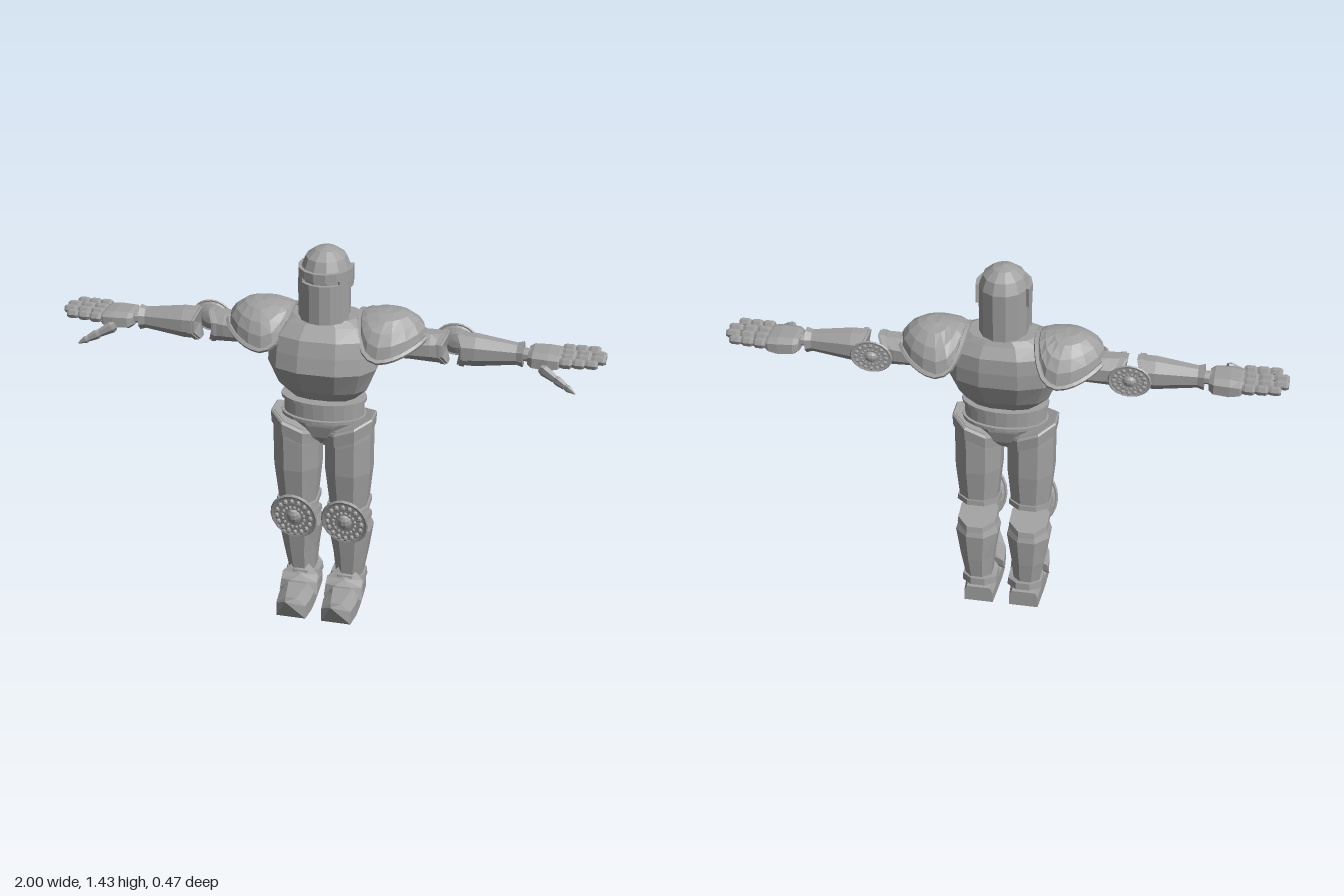
import * as THREE from 'three';

const steel = new THREE.MeshStandardMaterial({ color: 0xa0a0a0, flatShading: true, side: THREE.DoubleSide });
steel.name = 'steel';

function add(parent, name, geometry, pos = [0, 0, 0], rot = [0, 0, 0]) {
  const m = new THREE.Mesh(geometry, steel);
  m.name = name;
  m.position.set(...pos);
  m.rotation.set(...rot);
  parent.add(m);
  return m;
}

// Horizontal ring of points; tilt slopes it, fold bends it, p < 1 squares it off
function ring(y, rx, rz, cx = 0, cz = 0, { n = 8, sx = 0, sz = 0, foldX = 0, foldZ = 0, p = 1 } = {}) {
  const k = 1 / Math.cos(Math.PI / n), pts = [];
  const pw = v => Math.sign(v) * Math.min(1, Math.abs(v * k) ** p);
  for (let i = 0; i < n; i++) {
    const a = (i + 0.5) / n * Math.PI * 2;
    const x = rx * pw(Math.cos(a)), z = rz * pw(Math.sin(a));
    pts.push([cx + x, y + sx * x + sz * z + foldX * Math.abs(x) + foldZ * Math.abs(z), cz + z]);
  }
  return pts;
}

// Skin a stack of equal rings, closing the ends with fans
function loft(rings, capStart = true, capEnd = true) {
  const n = rings[0].length, pos = rings.flat(2), idx = [];
  for (let r = 0; r < rings.length - 1; r++)
    for (let i = 0; i < n; i++) {
      const a = r * n + i, b = r * n + (i + 1) % n;
      idx.push(a, a + n, b, b, a + n, b + n);
    }
  const cap = (r, flip) => {
    const c = pos.length / 3;
    for (let k = 0; k < 3; k++) pos.push(rings[r].reduce((s, q) => s + q[k], 0) / n);
    for (let i = 0; i < n; i++) {
      const a = r * n + i, b = r * n + (i + 1) % n;
      flip ? idx.push(c, b, a) : idx.push(c, a, b);
    }
  };
  if (capStart) cap(0, false);
  if (capEnd) cap(rings.length - 1, true);
  const g = new THREE.BufferGeometry();
  g.setAttribute('position', new THREE.Float32BufferAttribute(pos, 3));
  g.setIndex(idx);
  const flat = g.toNonIndexed();
  flat.computeVertexNormals();
  return flat;
}

// Curved upright plate around the helmet, between two angles from the front
function arcWall(y0, y1, a0, a1) {
  const steps = Math.max(2, Math.round((a1 - a0) / 0.4)), pts = [];
  for (let i = 0; i <= steps; i++) {
    const a = a0 + (a1 - a0) * i / steps;
    pts.push([0.099 * Math.sin(a), 0.06 - 0.11 * Math.cos(a)]);
  }
  for (let i = steps; i >= 0; i--) {
    const a = a0 + (a1 - a0) * i / steps;
    pts.push([0.086 * Math.sin(a), 0.06 - 0.095 * Math.cos(a)]);
  }
  const s = new THREE.Shape(pts.map(q => new THREE.Vector2(...q)));
  return new THREE.ExtrudeGeometry(s, { depth: y1 - y0, bevelEnabled: false }).rotateX(-Math.PI / 2).translate(0, y0, 0);
}

// Studded oval joint guard of unit radius, facing +z
function rondel(name, rx, ry) {
  const g = new THREE.Group();
  g.name = name;
  const bowl = [[0, -0.36], [0.45, -0.3], [0.8, -0.14], [0.97, 0.02]].map(q => new THREE.Vector2(...q));
  add(g, 'guardBowl', new THREE.LatheGeometry(bowl, 20).rotateX(Math.PI / 2));
  add(g, 'guardFace', new THREE.CircleGeometry(0.95, 20));
  add(g, 'guardRim', new THREE.TorusGeometry(0.94, 0.08, 5, 20));
  const boss = add(g, 'boss', new THREE.SphereGeometry(0.32, 10, 6));
  boss.scale.z = 0.8;
  const stud = new THREE.SphereGeometry(0.11, 6, 4), small = new THREE.SphereGeometry(0.075, 6, 4);
  for (let i = 0; i < 16; i++) {
    const a = i / 16 * Math.PI * 2, b = a + Math.PI / 16;
    add(g, 'stud', stud, [0.73 * Math.cos(a), 0.73 * Math.sin(a), 0.08]);
    add(g, 'smallStud', small, [0.47 * Math.cos(b), 0.47 * Math.sin(b), 0.1]);
  }
  g.scale.set(rx, ry, 0.085);
  return g;
}

function buildLeg() {
  const leg = new THREE.Group(), X = 0.097;
  add(leg, 'thigh', loft([ring(0.42, 0.068, 0.072, X, -0.035, { sz: -0.2 }), ring(0.58, 0.084, 0.088, X, -0.028),
    ring(0.7, 0.085, 0.088, X, -0.026, { sx: 0.3 }), ring(0.77, 0.08, 0.085, X, -0.026, { sx: 0.4 })]));
  add(leg, 'thighCuff', loft([ring(0.715, 0.09, 0.095, X, -0.026, { sx: 0.4 }), ring(0.76, 0.093, 0.098, X, -0.026, { sx: 0.4 }),
    ring(0.768, 0.088, 0.092, X, -0.026, { sx: 0.4 })]));
  add(leg, 'thighHem', loft([ring(0.42, 0.078, 0.085, X, -0.035, { sz: -0.22 }), ring(0.44, 0.077, 0.083, X, -0.035, { sz: -0.22 })]));
  // lower leg, with rims at knee and ankle
  add(leg, 'shin', loft([ring(0.09, 0.048, 0.06, X - 0.005, -0.074), ring(0.2, 0.063, 0.073, X, -0.072),
    ring(0.31, 0.08, 0.082, X, -0.067), ring(0.365, 0.062, 0.07, X, -0.065, { sz: 0.2 })]));
  add(leg, 'shinRim', loft([ring(0.35, 0.073, 0.083, X, -0.067, { sz: 0.2 }), ring(0.372, 0.071, 0.08, X, -0.065, { sz: 0.2 })]));
  const knee = rondel('kneeGuard', 0.088, 0.11);
  knee.position.set(X, 0.385, 0.05);
  knee.rotation.x = 0.28;
  leg.add(knee);
  // foot, from heel to raised point
  const F = 0.087;
  const foot = [[-0.135, 0.055, 0, 0.065, 0.045], [-0.06, 0.06, 0, 0.08, 0.045], [0.02, 0.064, 0, 0.085, 0.04],
    [0.08, 0.064, 0, 0.085, 0.03], [0.145, 0.056, 0, 0.085, 0.02], [0.23, 0.002, 0.116, 0.12, 0.001]];
  add(leg, 'foot', loft(foot.map(([z, w, y0, y1, t]) => {
    const m = y0 + (y1 - y0) * 0.65;
    return [[w, y0], [w, m], [t, y1], [-t, y1], [-w, m], [-w, y0]].map(([x, y]) => [F + x, y, z]);
  })));
  add(leg, 'ankleCuff', loft([ring(0.1, 0.066, 0.076, F, -0.076, { foldX: -0.35 }), ring(0.128, 0.064, 0.074, F, -0.076, { foldX: -0.35 })]));
  const strap = { sz: -0.9, foldX: -0.5 };
  add(leg, 'instepPlate', loft([ring(0.088, 0.074, 0.03, F, 0.018, strap), ring(0.13, 0.07, 0.028, F, 0.005, strap)]));
  return leg;
}

function buildArm() {
  const arm = new THREE.Group(), Y = 1.073, Z = -0.09;
  // limb pieces are stacked upright, then laid along x
  const limb = (name, ...rs) => add(arm, name,
    loft(rs.map(([x, ry, rz, foldZ = 0]) => ring(x, ry, rz, -Y, Z, { foldZ }))).rotateZ(-Math.PI / 2));
  limb('upperArm', [0.17, 0.055, 0.06], [0.3, 0.05, 0.06], [0.38, 0.054, 0.055], [0.455, 0.057, 0.046, -0.6]);
  limb('upperArmRim', [0.43, 0.06, 0.05, -0.6], [0.448, 0.061, 0.051, -0.6]);
  limb('forearm', [0.463, 0.056, 0.048, 0.6], [0.54, 0.056, 0.048], [0.7, 0.036, 0.03]);
  limb('forearmRim', [0.47, 0.061, 0.052, 0.6], [0.488, 0.061, 0.052, 0.6]);
  limb('wristCuff', [0.685, 0.037, 0.031], [0.71, 0.044, 0.038]);
  limb('wrist', [0.69, 0.022, 0.022], [0.75, 0.022, 0.025]);
  const elbow = rondel('elbowGuard', 0.075, 0.062);
  elbow.position.set(0.457, Y, -0.163);
  elbow.rotation.y = Math.PI;
  elbow.scale.z = 0.06;
  arm.add(elbow);

  // gauntlet
  const palm = [[0.728, 0.022, 0.05, 1.07], [0.745, 0.031, 0.066, 1.069], [0.8, 0.033, 0.071, 1.068],
    [0.835, 0.026, 0.069, 1.07], [0.848, 0.018, 0.062, 1.073]];
  add(arm, 'palm', loft(palm.map(([x, ry, rz, y]) => ring(x, ry, rz, -y, -0.095, { p: 0.6 }))).rotateZ(-Math.PI / 2));
  for (let f = 0; f < 4; f++) {
    const z = -0.155 + f * 0.041, end = f === 0 || f === 3 ? 0.975 : 1.0, len = (end - 0.842) / 3;
    for (let s = 0; s < 3; s++) {
      const a = 0.842 + s * len, r = 0.0165 - s * 0.0012, y = 1.08 + s * 0.002;
      add(arm, 'fingerPlate', loft([ring(a, r * 0.75, r * 0.75, -y, z, { n: 6 }), ring(a + len * 0.25, r, r, -y, z, { n: 6 }),
        ring(a + len * 0.8, r, r, -y, z, { n: 6 }), ring(a + len, r * 0.7, r * 0.7, -y, z, { n: 6 })]).rotateZ(-Math.PI / 2));
    }
  }
  // thumb, running outward, forward and down
  const from = new THREE.Vector3(0.78, 1.067, -0.002), to = new THREE.Vector3(0.91, 1.003, 0.044);
  const thumb = new THREE.Group(), L = from.distanceTo(to);
  thumb.name = 'thumb';
  [[0, 0.42, 0.02], [0.4, 0.72, 0.017], [0.7, 1, 0.013]].forEach(([a, b, r]) =>
    add(thumb, 'thumbPlate', loft([ring(a * L, r * 0.7, r * 0.6, 0, 0, { n: 6 }), ring((a + 0.1) * L, r, r * 0.8, 0, 0, { n: 6 }),
      ring(b * L, b === 1 ? 0.002 : r * 0.7, b === 1 ? 0.002 : r * 0.6, 0, 0, { n: 6 })])));
  thumb.position.copy(from);
  thumb.quaternion.setFromUnitVectors(new THREE.Vector3(0, 1, 0), to.clone().sub(from).normalize());
  arm.add(thumb);

  // saddle-rimmed shoulder dome
  const shell = (u, k = 1) => Array.from({ length: 16 }, (_, i) => {
    const a = i / 16 * Math.PI * 2, c = Math.cos(a), s = Math.sin(a);
    const rim = 1.06 + c * c * (c > 0 ? 0.055 : 0.125);
    return [0.245 + 0.118 * u * c * k - 0.035 * s * s * u, rim + (1.205 - rim) * Math.sqrt(Math.max(0, 1 - u * u)), -0.08 + 0.148 * u * s * k];
  });
  add(arm, 'shoulderDome', loft([1, 0.94, 0.78, 0.5, 0.22].map(u => shell(u)), false, true));
  const rimPath = new THREE.CatmullRomCurve3(shell(1, 1.02).map(q => new THREE.Vector3(...q)), true);
  add(arm, 'shoulderRim', new THREE.TubeGeometry(rimPath, 32, 0.01, 5, true));
  return arm;
}

export function createModel() {
  const model = new THREE.Group();
  model.name = 'armouredFigure';

  // helmet
  const head = new THREE.Group();
  head.name = 'helmet';
  const h = { n: 12 };
  add(head, 'helmetShell', loft([ring(1.175, 0.084, 0.092, 0, -0.06, h), ring(1.355, 0.085, 0.095, 0, -0.06, h),
    ring(1.395, 0.07, 0.078, 0, -0.06, h), ring(1.42, 0.038, 0.042, 0, -0.06, h), ring(1.43, 0.004, 0.004, 0, -0.06, h)]));
  add(head, 'visorBrow', arcWall(1.33, 1.36, -1.9, 1.9));
  add(head, 'visorFace', arcWall(1.17, 1.315, -1.2, 1.2));
  for (const s of [-1, 1]) {
    const [a, b, c] = s < 0 ? [-1.9, -0.75, -1.2] : [0.75, 1.9, 1.2];
    add(head, 'visorSide', arcWall(1.315, 1.33, a, b));
    add(head, 'visorCheek', arcWall(1.29, 1.315, Math.min(c, s * 1.9), Math.max(c, s * 1.9)));
  }
  model.add(head);

  // torso
  const t = { n: 12, p: 0.8 };
  add(model, 'breastplate', loft([ring(0.865, 0.115, 0.067, 0, -0.037, t), ring(0.91, 0.162, 0.1, 0, -0.037, t),
    ring(1.0, 0.198, 0.143, 0, -0.038, t), ring(1.06, 0.196, 0.138, 0, -0.046, t), ring(1.115, 0.188, 0.128, 0, -0.052, t),
    ring(1.155, 0.16, 0.095, 0, -0.06, t), ring(1.175, 0.12, 0.08, 0, -0.065, t)]));
  add(model, 'neck', new THREE.CylinderGeometry(0.06, 0.07, 0.06, 12), [0, 1.18, -0.06]);

  // belt with raised rims
  const b = { n: 24 };
  const band = (name, y0, y1, rx, rz) => add(model, name, loft([ring(y0, rx, rz, 0, -0.03, b), ring(y1, rx, rz, 0, -0.03, b)]));
  band('belt', 0.795, 0.86, 0.147, 0.09);
  band('beltRimTop', 0.855, 0.867, 0.157, 0.102);
  band('beltRimBottom', 0.788, 0.8, 0.157, 0.102);
  add(model, 'pelvis', loft([ring(0.68, 0.025, 0.035, 0, -0.03), ring(0.72, 0.07, 0.07, 0, -0.03),
    ring(0.77, 0.115, 0.085, 0, -0.03), ring(0.8, 0.135, 0.088, 0, -0.03)]));

  // limbs, mirrored
  for (const [name, build] of [['Leg', buildLeg], ['Arm', buildArm]])
    for (const s of [1, -1]) {
      const g = build();
      g.name = (s > 0 ? 'left' : 'right') + name;
      g.scale.x = s;
      model.add(g);
    }
  return model;
}
